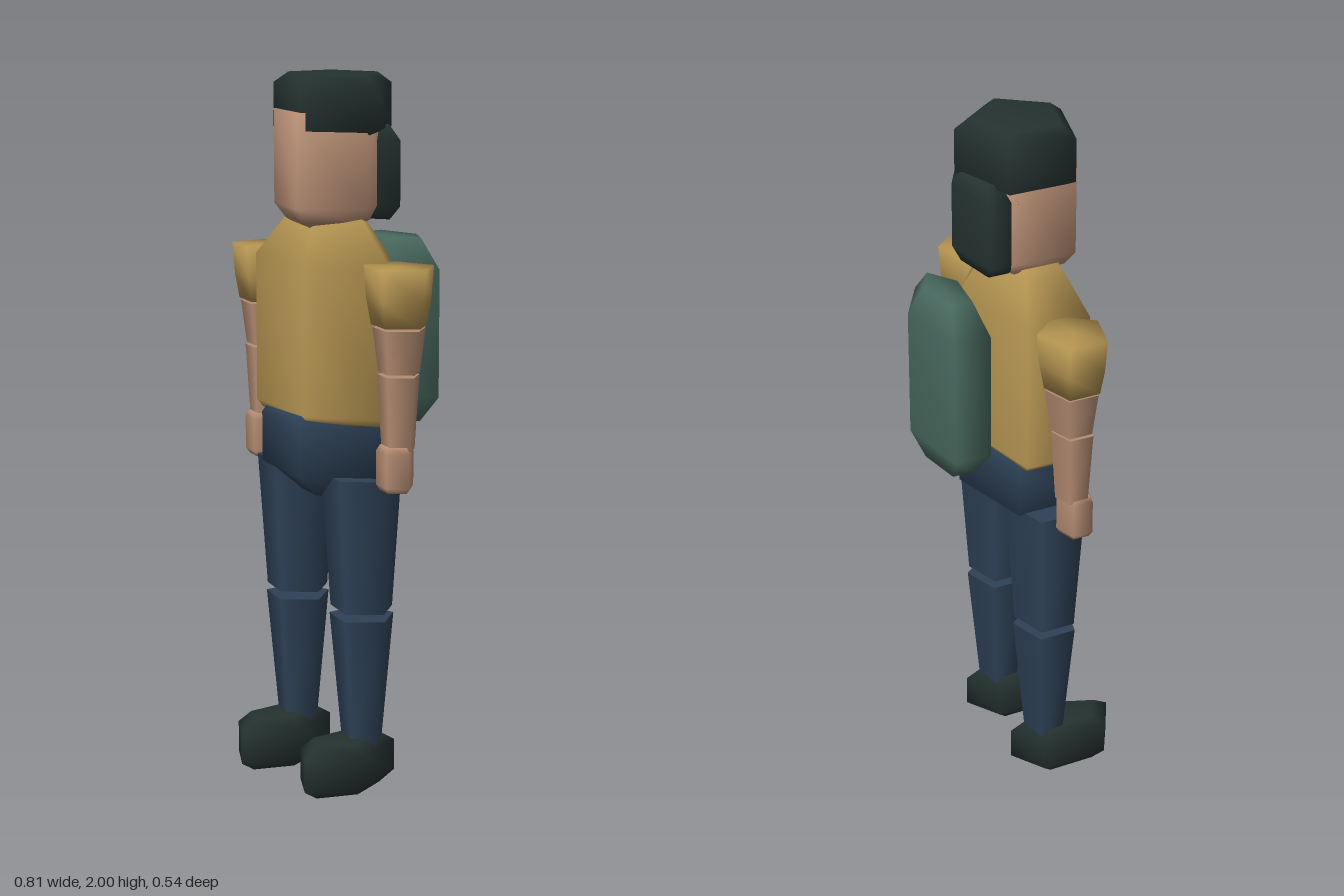
import * as THREE from 'three';

const SIDES = 5;
const CX = -0.0125; // body axis, offset because five-sided sections are lopsided in x

const mat = (name, color) => {
  const m = new THREE.MeshStandardMaterial({ color });
  m.name = name;
  return m;
};

export function createModel() {
  const model = new THREE.Group();
  model.name = 'blockyFigure';

  const dark = mat('darkHairAndShoes', 0x243230);
  const skin = mat('skin', 0xb48c72);
  const shirt = mat('mustardShirt', 0xb29250);
  const navy = mat('navyTrousers', 0x2e4157);
  const green = mat('packGreen', 0x46665c);

  // Closed five-sided form: rings are [y, scale] from bottom to top.
  const form = (name, material, x, z, rx, rz, rings) => {
    const profile = [
      new THREE.Vector2(0, rings[0][0]),
      ...rings.map(([y, s]) => new THREE.Vector2(s, y)),
      new THREE.Vector2(0, rings[rings.length - 1][0]),
    ];
    const geometry = new THREE.LatheGeometry(profile, SIDES, Math.PI / 2);
    const mesh = new THREE.Mesh(geometry, material);
    mesh.name = name;
    mesh.position.set(x, 0, z);
    mesh.scale.set(rx, 1, rz);
    model.add(mesh);
  };

  // Tapered limb section with flat ends.
  const limb = (name, material, x, z, y0, y1, r0, r1, depth) => {
    const geometry = new THREE.CylinderGeometry(r1, r0, y1 - y0, SIDES, 1, false, Math.PI / 2);
    const mesh = new THREE.Mesh(geometry, material);
    mesh.name = name;
    mesh.position.set(x, (y0 + y1) / 2, z);
    mesh.scale.z = depth;
    model.add(mesh);
  };

  // Trunk
  form('torso', shirt, -0.02, 0.04, 0.268, 0.158,
    [[1.05, 0.92], [1.07, 1], [1.49, 1], [1.61, 0.55]]);
  form('pelvis', navy, -0.015, 0.042, 0.229, 0.17,
    [[0.83, 0.45], [0.9, 1], [1.04, 1], [1.07, 0.9]]);

  // Head and hair
  form('head', skin, CX, 0.04, 0.163, 0.163,
    [[1.57, 0.45], [1.6, 0.8], [1.64, 1], [1.9, 1]]);
  form('topHair', dark, CX, 0.028, 0.182, 0.166,
    [[1.83, 0.75], [1.85, 1], [1.97, 1], [2, 0.75]]);
  form('backHair', dark, CX, -0.075, 0.163, 0.07,
    [[1.6, 0.72], [1.64, 1], [1.82, 1], [1.86, 0.7]]);

  // Backpack
  form('backpack', green, CX, -0.185, 0.202, 0.09,
    [[1.02, 0.6], [1.1, 1], [1.46, 1], [1.54, 0.6]]);

  // Arms and legs
  for (const [side, s] of [['left', 1], ['right', -1]]) {
    const ax = CX + s * 0.305;
    form(side + 'Sleeve', shirt, ax, 0.04, 0.108, 0.095,
      [[1.34, 0.8], [1.41, 0.93], [1.5, 1]]);
    limb(side + 'UpperArm', skin, ax, 0.04, 1.212, 1.333, 0.063, 0.08, 0.92);
    limb(side + 'Forearm', skin, ax, 0.043, 1.0, 1.205, 0.05, 0.064, 0.92);
    form(side + 'Hand', skin, ax, 0.053, 0.059, 0.05,
      [[0.885, 0.8], [0.9, 1], [0.995, 1], [1.012, 0.8]]);

    const lx = CX + s * 0.15;
    limb(side + 'Thigh', navy, lx, 0.045, 0.52, 0.903, 0.098, 0.127, 0.89);
    limb(side + 'Shin', navy, lx, 0.045, 0.12, 0.498, 0.061, 0.099, 0.93);
    form(side + 'Shoe', dark, lx, 0.11, 0.091, 0.168,
      [[0, 0.7], [0.03, 1], [0.12, 1], [0.15, 0.7]]);
  }

  return model;
}
